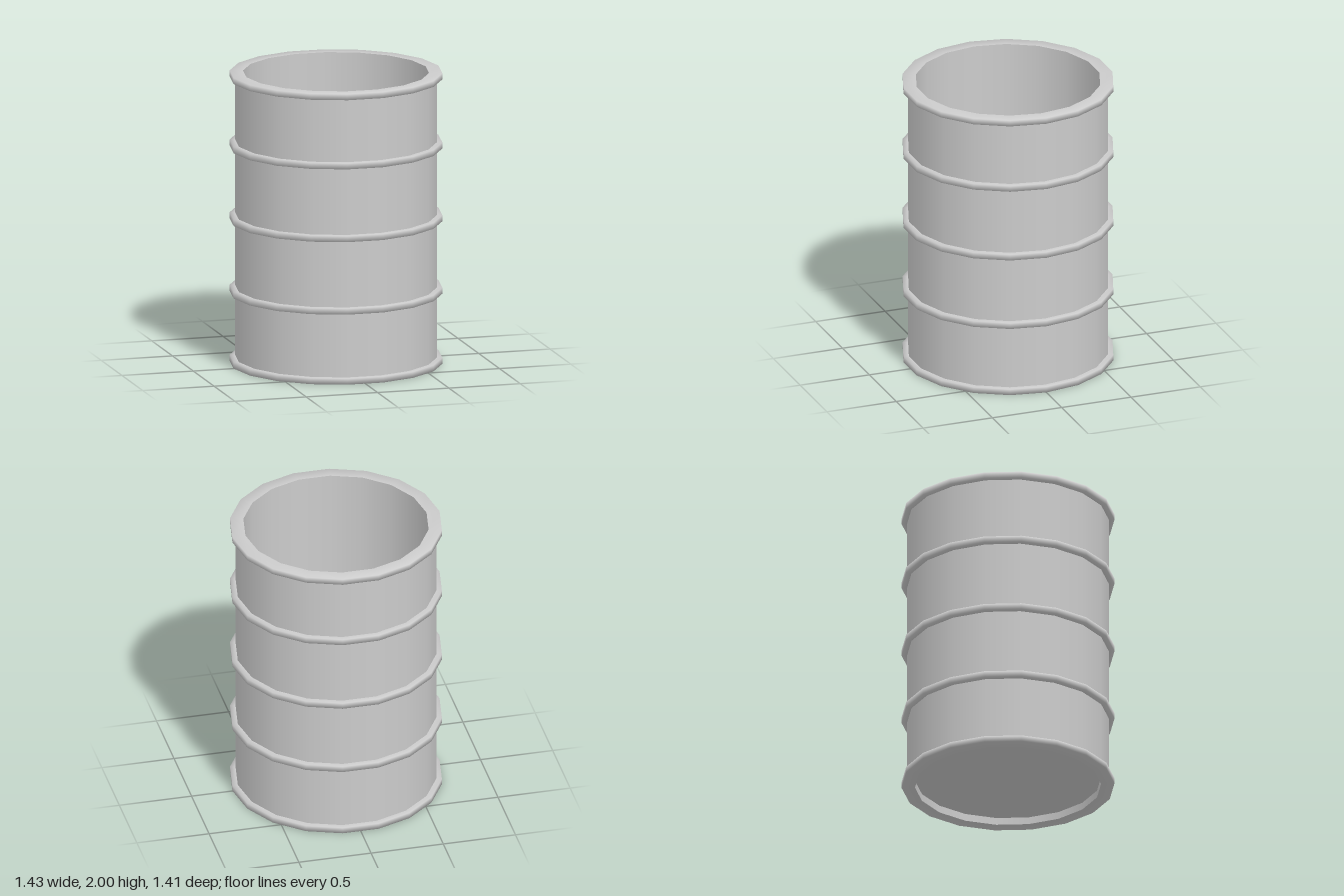
import * as THREE from 'three';

const SIDES = 18;
const R_INNER = 0.627, R_BODY = 0.68, R_RING = 0.717;
const RING_H = 0.042;
const FLOOR_BOTTOM = 0.05, FLOOR_TOP = 0.1;

export function createModel() {
  const barrel = new THREE.Group();
  barrel.name = 'barrel';
  const material = new THREE.MeshStandardMaterial({ color: 0xcccccc });

  const add = (name, geometry) => {
    const mesh = new THREE.Mesh(geometry, material);
    mesh.name = name;
    barrel.add(mesh);
    return mesh;
  };
  // 18-sided surface of revolution with corners on the x axis; rising profiles face outward
  const turn = (name, profile) => add(name, new THREE.LatheGeometry(
    profile.map(([r, y]) => new THREE.Vector2(r, y)), SIDES, Math.PI / 2));

  // Rims wrap from the body over the end face to the inner wall; hoops sit in between
  const h = RING_H;
  turn('bottomRim', [[R_INNER, 0], [R_RING, 0], [R_RING, h], [R_BODY, h]]);
  turn('topRim', [[R_BODY, 2 - h], [R_RING, 2 - h], [R_RING, 2], [R_INNER, 2]]);
  const hoopHeights = [0.503, 1.002, 1.503];
  for (const y of hoopHeights) {
    turn('hoop', [[R_BODY, y - h / 2], [R_RING, y - h / 2], [R_RING, y + h / 2], [R_BODY, y + h / 2]]);
  }

  // Outer wall in four bands between the hoops
  const levels = [h / 2, ...hoopHeights, 2 - h / 2];
  for (let i = 0; i < levels.length - 1; i++) {
    turn('outerWall', [[R_BODY, levels[i] + h / 2], [R_BODY, levels[i + 1] - h / 2]]);
  }

  // Inner wall and the short recess below the floor
  turn('innerWall', [[R_INNER, 2], [R_INNER, FLOOR_TOP]]);
  turn('baseRecess', [[R_INNER, FLOOR_BOTTOM], [R_INNER, 0]]);

  // Floor, seen from inside and from below
  const disc = () => new THREE.CircleGeometry(R_INNER, SIDES);
  add('floor', disc().rotateX(-Math.PI / 2)).position.y = FLOOR_TOP;
  add('underside', disc().rotateX(Math.PI / 2)).position.y = FLOOR_BOTTOM;

  return barrel;
}
